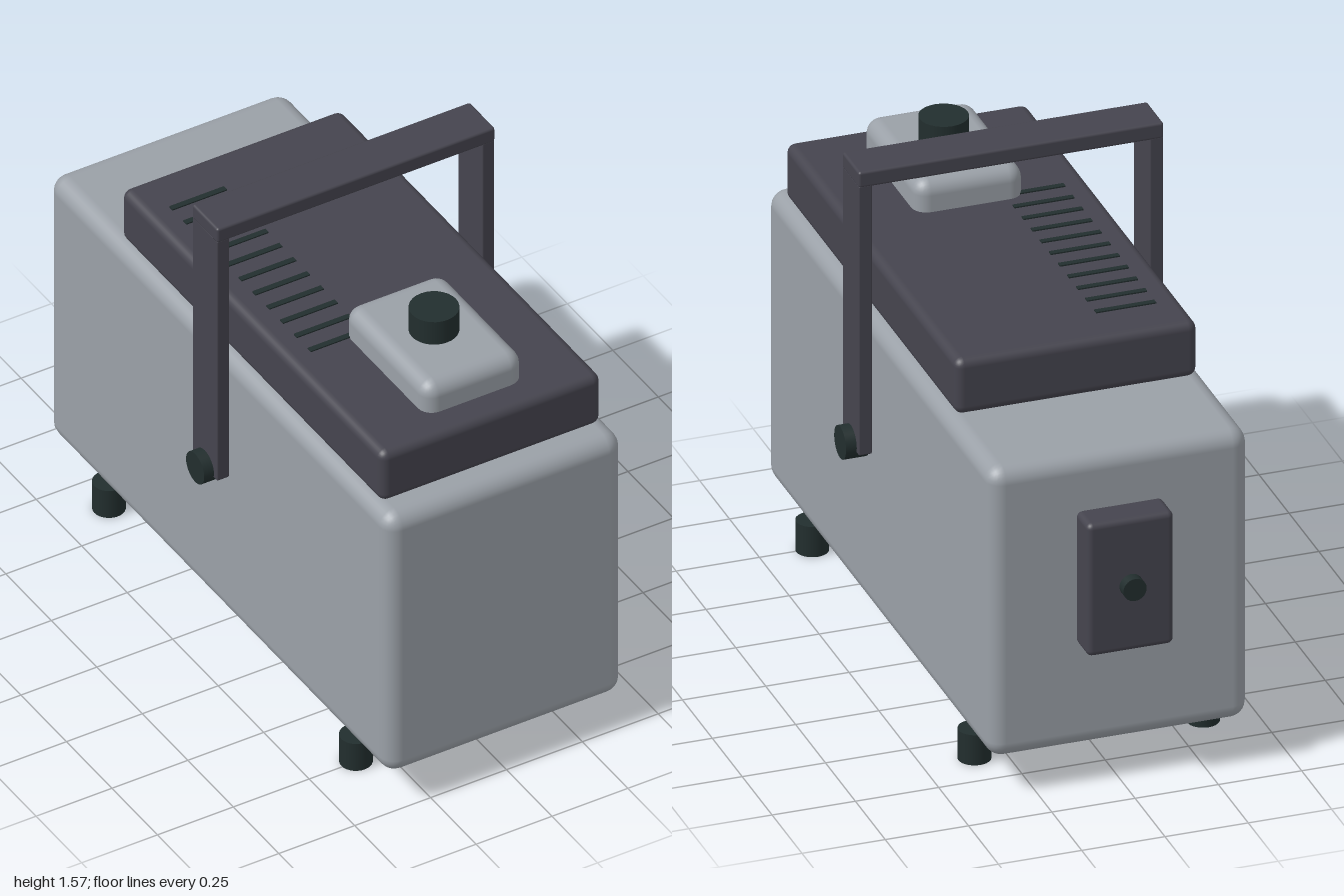
import * as THREE from 'three';
import { RoundedBoxGeometry } from 'three/addons/geometries/RoundedBoxGeometry.js';

const material = (name, color) => {
  const m = new THREE.MeshStandardMaterial({ color });
  m.name = name;
  return m;
};

export function createModel() {
  const model = new THREE.Group();
  model.name = 'portableCase';
  const grey = material('case grey', 0x9aa0a7);
  const charcoal = material('charcoal', 0x45444e);
  const black = material('rubber black', 0x222e2e);

  const add = (name, geometry, mat, x, y, z) => {
    const mesh = new THREE.Mesh(geometry, mat);
    mesh.name = name;
    mesh.position.set(x, y, z);
    model.add(mesh);
    return mesh;
  };
  // Rounded box given by its extents on each axis
  const box = (name, mat, [x0, x1], [y0, y1], [z0, z1], radius) =>
    add(name, new RoundedBoxGeometry(x1 - x0, y1 - y0, z1 - z0, 3, radius), mat,
      (x0 + x1) / 2, (y0 + y1) / 2, (z0 + z1) / 2);
  const cylinder = (name, radius, length, x, y, z) =>
    add(name, new THREE.CylinderGeometry(radius, radius, length, 28), black, x, y, z);

  // Main case, lid and raised pad with its knob
  box('body', grey, [-0.39, 0.39], [0.12, 1.042], [-0.873, 1], 0.05);
  box('lid', charcoal, [-0.363, 0.363], [1.04, 1.216], [-0.515, 0.92], 0.027);
  box('topPad', grey, [-0.163, 0.163], [1.15, 1.312], [0.373, 0.83], 0.045);
  cylinder('topKnob', 0.072, 0.09, 0, 1.347, 0.602);

  // Row of vent slots on the lid
  for (let i = 0; i < 11; i++) {
    add('ventSlot', new THREE.BoxGeometry(0.18, 0.008, 0.018), black, -0.2, 1.216, -0.36 + i * 0.076);
  }

  // Carrying handle
  box('handleBar', charcoal, [-0.458, 0.458], [1.515, 1.565], [0.035, 0.175], 0.008);
  for (const side of [-1, 1]) {
    box('handleArm', charcoal, side < 0 ? [-0.457, -0.417] : [0.417, 0.457],
      [0.663, 1.52], [0.037, 0.173], 0.004);
    cylinder('handlePivot', 0.05, 0.07, side * 0.454, 0.679, 0.105).rotation.z = Math.PI / 2;
    // Feet, front and back
    for (const z of [0.745, -0.612]) cylinder('foot', 0.048, 0.096, side * 0.343, 0.048, z);
  }

  // Rear panel with its button
  box('rearPanel', charcoal, [-0.13, 0.13], [0.452, 0.873], [-0.967, -0.86], 0.018);
  cylinder('rearButton', 0.035, 0.05, 0, 0.663, -0.975).rotation.x = Math.PI / 2;

  return model;
}
